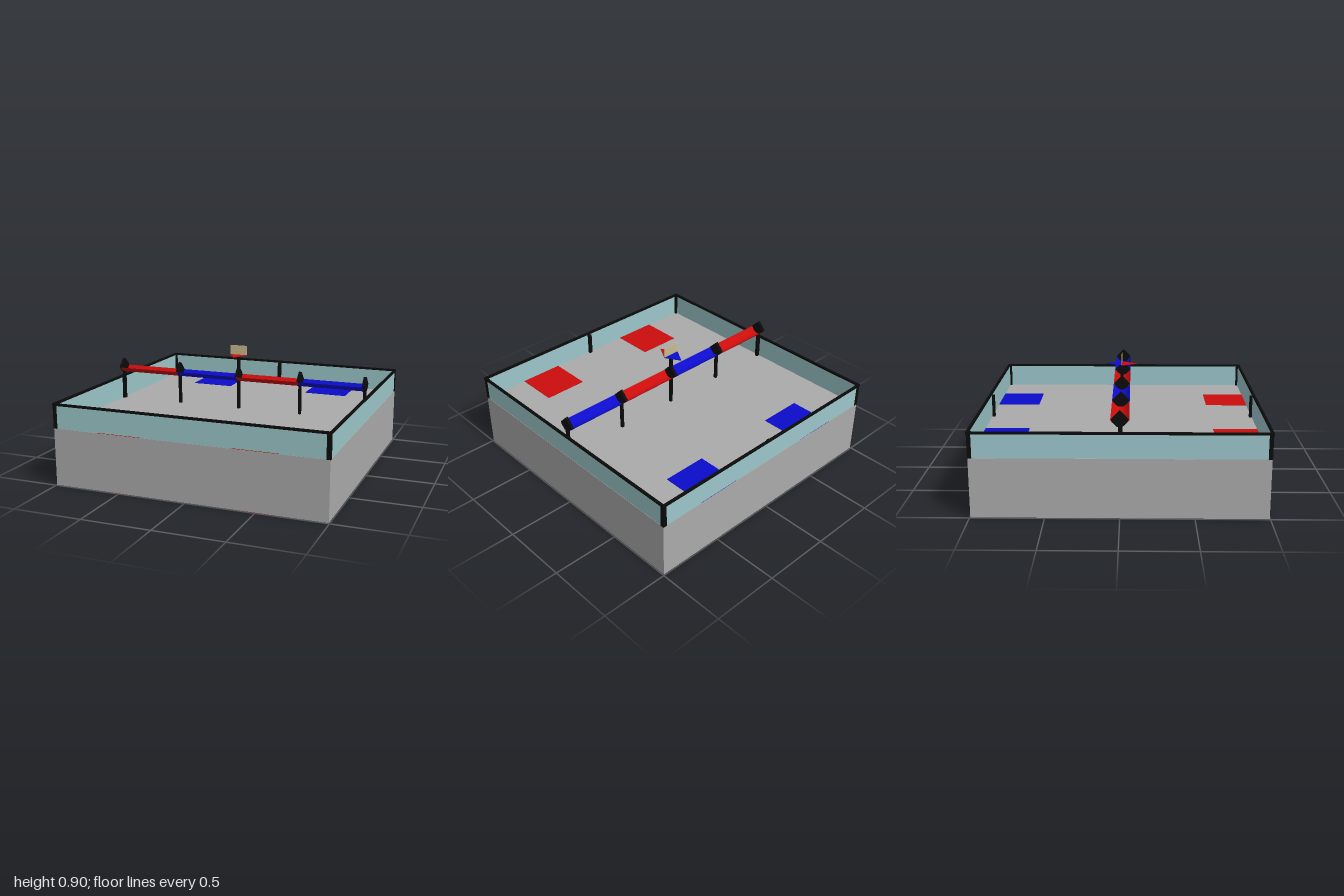
import * as THREE from 'three';

const mat = (name, color, side = THREE.FrontSide) => {
  const m = new THREE.MeshStandardMaterial({ color, side });
  m.name = name;
  return m;
};

export function createModel() {
  const model = new THREE.Group();
  model.name = 'playingField';
  const grey = mat('grey', 0xaaaaaa);
  const black = mat('black', 0x0b0b0b);
  const glass = mat('paleTeal', 0x9cc6ca);
  const red = mat('red', 0xcc0c0c, THREE.DoubleSide);
  const blue = mat('blue', 0x0c0ccc, THREE.DoubleSide);
  const beige = mat('beige', 0xc8ba8e, THREE.DoubleSide);

  const add = (name, geometry, material, x = 0, y = 0, z = 0) => {
    const mesh = new THREE.Mesh(geometry, material);
    mesh.name = name;
    mesh.position.set(x, y, z);
    model.add(mesh);
    return mesh;
  };
  // Box placed by its bottom centre
  const box = (name, w, h, d, material, x, y, z) =>
    add(name, new THREE.BoxGeometry(w, h, d), material, x, y + h / 2, z);

  // Solid base
  const floor = 0.42;
  box('base', 1.99, floor - 0.004, 1.99, grey, 0, 0.002, 0);

  // Painted squares on the floor and on the underside
  for (const sx of [-1, 1]) for (const sz of [-1, 1]) {
    const color = sz > 0 ? red : blue;
    box('floorSquare', 0.33, 0.003, 0.328, color, sx * 0.494, floor - 0.002, sz * 0.829);
    box('undersideSquare', 0.33, 0.003, 0.328, color, sx * 0.494, 0, sz * 0.829);
  }

  // Perimeter: panels, top rails, middle posts and corner posts
  for (const s of [-1, 1]) {
    box('endPanel', 1.94, 0.167, 0.008, glass, 0, floor - 0.002, s * 0.989);
    box('sidePanel', 0.008, 0.167, 1.94, glass, s * 0.989, floor - 0.002, 0);
    box('endRail', 2, 0.016, 0.016, black, 0, 0.583, s * 0.992);
    box('sideRail', 0.016, 0.016, 1.968, black, s * 0.992, 0.583, 0);
    box('endMiddlePost', 0.026, 0.165, 0.02, black, 0, floor - 0.002, s * 0.975);
    box('sideMiddlePost', 0.02, 0.165, 0.026, black, s * 0.975, floor - 0.002, 0);
    for (const t of [-1, 1])
      box('cornerPost', 0.028, 0.166, 0.028, black, s * 0.983, floor - 0.002, t * 0.983);
  }

  // Curved trough in four alternating segments
  const stops = [-0.97, -0.485, 0, 0.485, 0.97];
  for (let i = 0; i < 4; i++) {
    const length = stops[i + 1] - stops[i];
    const g = new THREE.PlaneGeometry(length, 0.124, 1, 10).rotateX(-Math.PI / 2);
    const p = g.attributes.position;
    for (let k = 0; k < p.count; k++) p.setY(k, 0.04 * (p.getZ(k) / 0.062) ** 2);
    g.computeVertexNormals();
    add('trough', g, i % 2 ? blue : red, stops[i] + length / 2, 0.632, 0);
  }

  // Pointed dividers on their posts
  const outline = [[0, 0.738], [-0.058, 0.678], [-0.042, 0.654], [-0.018, 0.632],
    [0.018, 0.632], [0.042, 0.654], [0.058, 0.678]];
  const divider = new THREE.ExtrudeGeometry(
    new THREE.Shape(outline.map(([a, b]) => new THREE.Vector2(a, b))),
    { depth: 0.022, bevelEnabled: false });
  divider.translate(0, 0, -0.011).rotateY(Math.PI / 2);
  for (const x of stops) {
    add('divider', divider, black, x);
    box('troughPost', 0.02, (x ? 0.64 : 0.828) - floor + 0.002, 0.02, black, x, floor - 0.002, 0);
  }

  // Pointer plate on the tall centre post: two triangles
  for (const s of [-1, 1]) {
    const tri = new THREE.Shape([
      new THREE.Vector2(-0.066, 0), new THREE.Vector2(0.066, 0), new THREE.Vector2(0, -s * 0.112)]);
    const g = new THREE.ExtrudeGeometry(tri, { depth: 0.004, bevelEnabled: false });
    add('pointer', g.rotateX(-Math.PI / 2), s > 0 ? red : blue, 0, 0.828, 0);
  }

  // Upright sign above the pointer
  box('sign', 0.132, 0.07, 0.003, beige, 0, 0.832, 0);

  return model;
}
